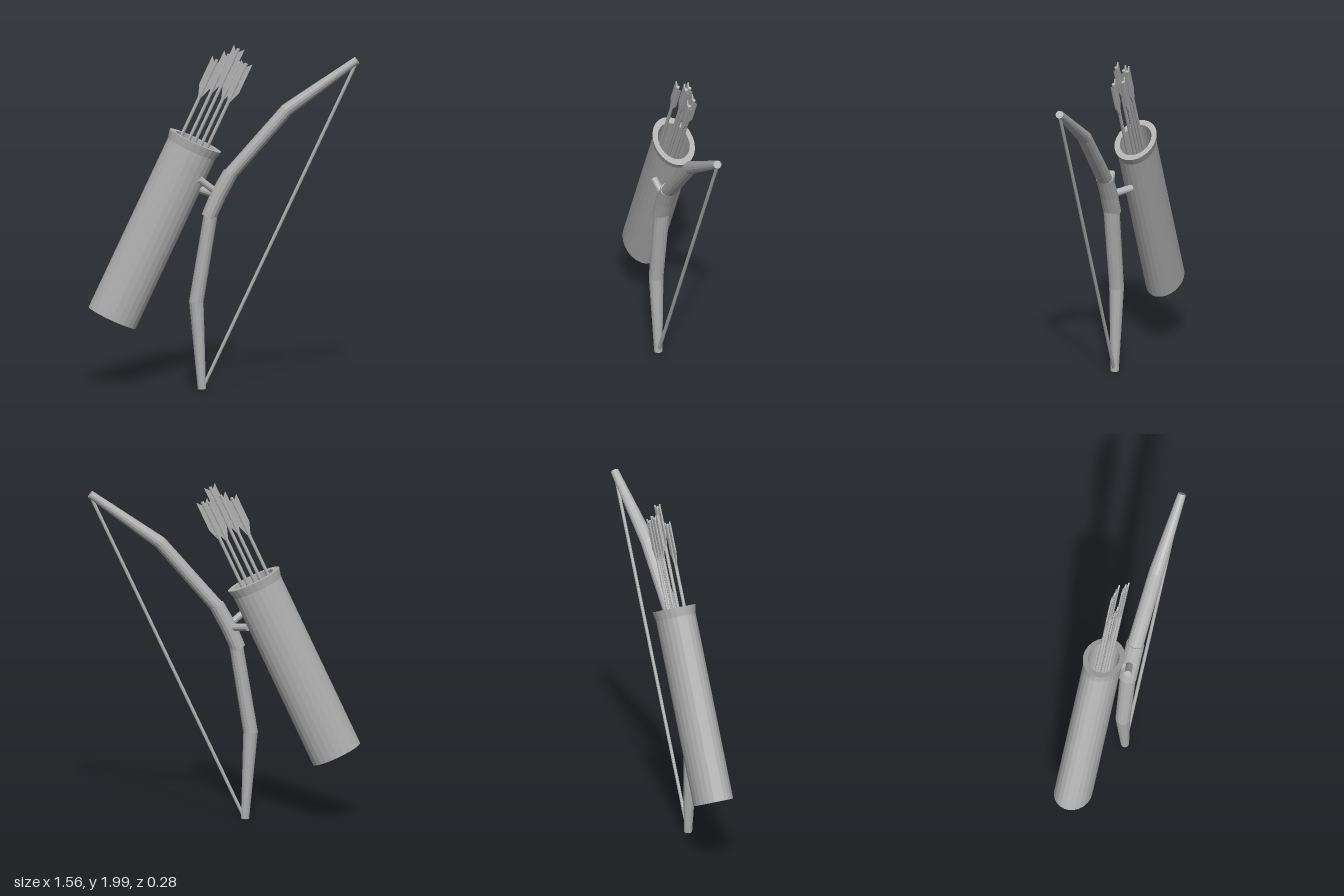
import * as THREE from 'three';

const TILT = -0.4337; // lean shared by the quiver and arrows
const BOW_Z = 0.088;

const grey = new THREE.MeshStandardMaterial({ color: 0xb0b0b0, flatShading: true });
grey.name = 'plain grey';

function add(parent, name, geometry) {
  const mesh = new THREE.Mesh(geometry, grey);
  mesh.name = name;
  parent.add(mesh);
  return mesh;
}

// Capped tube through stations [x, y, radius in plane, radius in z]
function loft(stations, sides = 14) {
  const pos = [], idx = [], last = stations.length - 1;
  stations.forEach(([x, y, r, rz], i) => {
    const a = stations[Math.max(i - 1, 0)], b = stations[Math.min(i + 1, last)];
    const t = new THREE.Vector2(b[0] - a[0], b[1] - a[1]).normalize();
    for (let j = 0; j < sides; j++) {
      const c = Math.cos(j / sides * Math.PI * 2), s = Math.sin(j / sides * Math.PI * 2);
      pos.push(x + t.y * r * c, y - t.x * r * c, BOW_Z - rz * s);
    }
  });
  for (let i = 0; i < last; i++) {
    for (let j = 0; j < sides; j++) {
      const p = i * sides + j, q = i * sides + (j + 1) % sides;
      idx.push(p, q, p + sides, q, q + sides, p + sides);
    }
  }
  const top = last * sides;
  for (let j = 1; j < sides - 1; j++) idx.push(0, j + 1, j, top, top + j, top + j + 1);
  const g = new THREE.BufferGeometry();
  g.setAttribute('position', new THREE.Float32BufferAttribute(pos, 3));
  g.setIndex(idx);
  g.computeVertexNormals();
  return g;
}

// Straight cylinder between two points
function rod(parent, name, from, to, radius, sides) {
  const a = new THREE.Vector3(...from), b = new THREE.Vector3(...to);
  const d = b.clone().sub(a);
  const mesh = add(parent, name, new THREE.CylinderGeometry(radius, radius, d.length(), sides));
  mesh.position.copy(a).add(b).multiplyScalar(0.5);
  mesh.quaternion.setFromUnitVectors(new THREE.Vector3(0, 1, 0), d.normalize());
  return mesh;
}

function makeQuiver() {
  const quiver = new THREE.Group();
  quiver.name = 'quiver';
  // Oval case with a flared rim and a hollow inside
  const profile = [[0, 0], [0.149, 0], [0.149, 1.085], [0.163, 1.137],
    [0.122, 1.137], [0.122, 0.12], [0, 0.12]].map(p => new THREE.Vector2(...p));
  add(quiver, 'quiverCase', new THREE.LatheGeometry(profile, 24)).scale.z = 0.72;

  // Vane outline, with a notch where the shaft ends
  const vane = new THREE.Shape([[-0.006, -0.26], [0.006, -0.26], [0.034, -0.18], [0.034, 0],
    [0.008, -0.03], [-0.008, -0.03], [-0.034, 0], [-0.034, -0.18]].map(p => new THREE.Vector2(...p)));
  const vaneGeo = new THREE.ExtrudeGeometry(vane, { depth: 0.009, bevelEnabled: false });
  vaneGeo.translate(0, 0, -0.0045);

  // Arrows: sideways offset, tip height, depth
  const arrows = [[-0.085, 1.63, 0.025], [-0.035, 1.68, -0.02], [0, 1.74, 0.025],
    [0.042, 1.67, -0.02], [0.077, 1.68, 0.025]];
  for (const [x, tip, z] of arrows) {
    const arrow = new THREE.Group();
    arrow.name = 'arrow';
    rod(arrow, 'arrowShaft', [0, 0.14, 0], [0, tip - 0.01, 0], 0.01, 8);
    add(arrow, 'arrowFletching', vaneGeo).position.y = tip;
    arrow.position.set(x, 0, z);
    quiver.add(arrow);
  }
  quiver.position.set(-0.645, 0.398, -0.025);
  quiver.rotation.z = TILT;
  return quiver;
}

function makeBow() {
  const bow = new THREE.Group();
  bow.name = 'bow';
  // Tapering limbs, each bent once
  add(bow, 'lowerLimb', loft([[-0.126, 0.005, 0.024, 0.024],
    [-0.158, 0.51, 0.042, 0.043], [-0.07, 1.05, 0.04, 0.048]]));
  add(bow, 'upperLimb', loft([[0.01, 1.22, 0.04, 0.048],
    [0.362, 1.628, 0.038, 0.043], [0.765, 1.918, 0.023, 0.024]]));
  // Grip sleeve
  add(bow, 'grip', loft([[-0.086, 1.005, 0.044, 0.053],
    [-0.032, 1.13, 0.046, 0.054], [0.038, 1.258, 0.044, 0.053]]));
  // String between the tips
  rod(bow, 'bowString', [-0.112, 0.03, BOW_Z], [0.76, 1.9, BOW_Z], 0.01, 8);
  // Short pegs on the grip
  rod(bow, 'upperPeg', [-0.138, 1.225, 0.11], [-0.04, 1.145, 0.085], 0.02, 12);
  rod(bow, 'lowerPeg', [-0.135, 1.145, -0.015], [-0.045, 1.13, 0.07], 0.022, 12);
  return bow;
}

export function createModel() {
  const model = new THREE.Group();
  model.name = 'bowAndQuiver';
  model.add(makeQuiver(), makeBow());
  return model;
}
